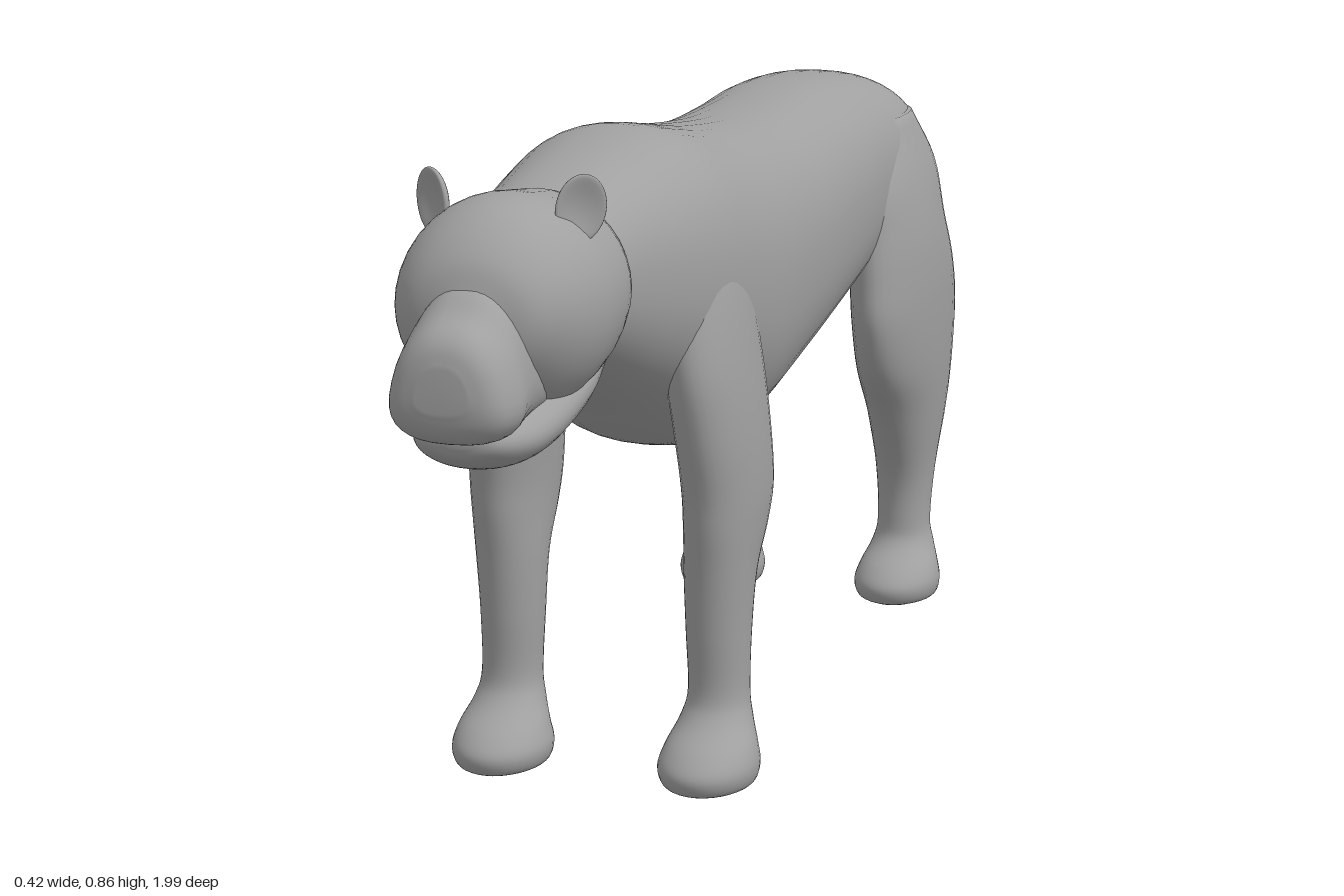
import * as THREE from 'three';

const X = new THREE.Vector3(1, 0, 0);

// Smooth skin over cross-sections [x, y, z, halfWidth, halfDepth].
// axis fixes the ring normal; without it rings follow the path.
// power below 1 squares the section; taper narrows its upper side.
function loft(sections, { axis = null, power = 1, taper = 0, steps = 5, sides = 36 } = {}) {
  const path = new THREE.CatmullRomCurve3(sections.map(s => new THREE.Vector3(s[0], s[1], s[2])), false, 'catmullrom');
  const size = new THREE.CatmullRomCurve3(sections.map(s => new THREE.Vector3(s[3], s[4], 0)), false, 'catmullrom');
  const n = (sections.length - 1) * steps;
  const pos = [], idx = [];
  const bend = v => Math.sign(v) * Math.pow(Math.abs(v), power);
  const ring = (t, k) => {
    const c = path.getPoint(t), r = size.getPoint(t);
    const up = (axis || path.getTangent(t)).clone().cross(X).normalize();
    for (let j = 0; j < sides; j++) {
      const a = j / sides * Math.PI * 2;
      const s = bend(Math.sin(a));
      const w = bend(Math.cos(a)) * Math.max(r.x, 0.001) * k * (1 - taper * s);
      const h = s * Math.max(r.y, 0.001) * k;
      pos.push(c.x + w, c.y + up.y * h, c.z + up.z * h);
    }
  };
  ring(0, 0);
  for (let i = 0; i <= n; i++) ring(i / n, 1);
  ring(1, 0);
  for (let i = 0; i < n + 2; i++) {
    for (let j = 0; j < sides; j++) {
      const a = i * sides + j, b = i * sides + (j + 1) % sides;
      idx.push(a, b, a + sides, b, b + sides, a + sides);
    }
  }
  const g = new THREE.BufferGeometry();
  g.setAttribute('position', new THREE.Float32BufferAttribute(pos, 3));
  g.setIndex(idx);
  g.computeVertexNormals();
  return g;
}

export function createModel() {
  const model = new THREE.Group();
  model.name = 'bigCat';
  const grey = new THREE.MeshStandardMaterial({ color: 0xa0a0a0 });
  grey.name = 'grey';
  const Y = new THREE.Vector3(0, 1, 0), Z = new THREE.Vector3(0, 0, 1);
  const add = (name, geometry, parent = model) => {
    const m = new THREE.Mesh(geometry, grey);
    m.name = name;
    parent.add(m);
    return m;
  };

  // Torso: [z, top, bottom, half width]
  const torso = [
    [-0.75, 0.70, 0.64, 0.03], [-0.735, 0.735, 0.60, 0.075], [-0.70, 0.77, 0.57, 0.115],
    [-0.62, 0.805, 0.545, 0.148], [-0.5, 0.825, 0.525, 0.162], [-0.35, 0.83, 0.497, 0.163],
    [-0.2, 0.82, 0.465, 0.165], [0, 0.815, 0.43, 0.173], [0.2, 0.83, 0.40, 0.183],
    [0.3, 0.843, 0.41, 0.183], [0.4, 0.855, 0.45, 0.174], [0.5, 0.842, 0.50, 0.153],
    [0.6, 0.825, 0.545, 0.13], [0.7, 0.805, 0.59, 0.112], [0.74, 0.79, 0.61, 0.10]];
  add('torso', loft(torso.map(([z, t, b, w]) => [0, (t + b) / 2, z, w, (t - b) / 2]), { axis: Z, power: 0.88, sides: 48 }));

  // Tail
  add('tail', loft([
    [0, 0.71, -0.68, 0.06, 0.05], [0, 0.715, -0.75, 0.043, 0.036], [0, 0.685, -0.81, 0.034, 0.031],
    [0, 0.59, -0.868, 0.03, 0.029], [0, 0.45, -0.905, 0.03, 0.029], [0, 0.32, -0.925, 0.029, 0.028],
    [0, 0.23, -0.948, 0.028, 0.028], [0, 0.19, -0.969, 0.026, 0.026], [0, 0.172, -0.983, 0.014, 0.014]], { sides: 24 }));

  // Legs with paws, mirrored
  const paw = z => [
    [0.144, 0, z, 0.042, 0.06], [0.144, 0.008, z, 0.06, 0.076], [0.144, 0.03, z, 0.066, 0.081],
    [0.145, 0.055, z - 0.008, 0.06, 0.068], [0.145, 0.085, z - 0.03, 0.048, 0.048]];
  const frontLeg = [...paw(0.46),
    [0.145, 0.12, 0.42, 0.041, 0.041], [0.144, 0.2, 0.418, 0.043, 0.048], [0.145, 0.28, 0.414, 0.047, 0.06],
    [0.147, 0.34, 0.397, 0.052, 0.086], [0.147, 0.39, 0.39, 0.055, 0.1], [0.142, 0.47, 0.398, 0.056, 0.11],
    [0.132, 0.56, 0.405, 0.056, 0.115], [0.118, 0.66, 0.405, 0.053, 0.1], [0.1, 0.76, 0.405, 0.04, 0.07]];
  const hindLeg = [...paw(-0.498),
    [0.145, 0.12, -0.533, 0.041, 0.043], [0.145, 0.2, -0.54, 0.045, 0.061], [0.146, 0.3, -0.541, 0.056, 0.12],
    [0.146, 0.38, -0.525, 0.062, 0.175], [0.146, 0.46, -0.515, 0.064, 0.202], [0.144, 0.53, -0.504, 0.064, 0.194],
    [0.139, 0.6, -0.49, 0.06, 0.178], [0.125, 0.68, -0.495, 0.054, 0.185], [0.105, 0.76, -0.5, 0.04, 0.13]];
  for (const [side, s] of [['left', 1], ['right', -1]]) {
    for (const [name, leg] of [['FrontLeg', frontLeg], ['HindLeg', hindLeg]]) {
      add(side + name, loft(leg.map(([x, ...r]) => [x * s, ...r]), { axis: Y }));
    }
  }

  // Head, muzzle and lower jaw
  const head = new THREE.Group();
  head.name = 'head';
  model.add(head);
  add('skull', loft([
    [0, 0.697, 0.685, 0.12, 0.116], [0, 0.692, 0.73, 0.129, 0.126], [0, 0.69, 0.79, 0.132, 0.134],
    [0, 0.692, 0.84, 0.122, 0.124], [0, 0.695, 0.88, 0.104, 0.098], [0, 0.695, 0.91, 0.075, 0.065],
    [0, 0.695, 0.925, 0.03, 0.025]], { axis: Z }), head);
  add('muzzle', loft([
    [0, 0.65, 0.83, 0.07, 0.09], [0, 0.65, 0.88, 0.07, 0.092], [0, 0.643, 0.92, 0.074, 0.087],
    [0, 0.631, 0.95, 0.077, 0.076], [0, 0.626, 0.978, 0.069, 0.066], [0, 0.625, 0.993, 0.054, 0.05],
    [0, 0.625, 1, 0.03, 0.026]], { axis: Z, power: 0.8, taper: 0.25 }), head);
  add('lowerJaw', loft([
    [0, 0.615, 0.69, 0.09, 0.04], [0, 0.59, 0.75, 0.095, 0.048], [0, 0.564, 0.82, 0.088, 0.046],
    [0, 0.554, 0.88, 0.082, 0.042], [0, 0.552, 0.92, 0.068, 0.034], [0, 0.553, 0.945, 0.045, 0.02],
    [0, 0.555, 0.953, 0.015, 0.006]], { axis: Z }), head);

  // Eyes with lids, and cupped ears
  for (const [side, s] of [['left', 1], ['right', -1]]) {
    const eye = new THREE.Group();
    eye.name = side + 'Eye';
    eye.position.set(0.065 * s, 0.711, 0.893);
    eye.rotation.set(-0.1, 0.5 * s, 0.2 * s);
    add('eyeball', new THREE.SphereGeometry(0.017, 20, 14), eye);
    const lid = add('eyelid', new THREE.TorusGeometry(0.018, 0.004, 8, 24), eye);
    lid.scale.y = 0.8;
    lid.position.z = 0.004;
    head.add(eye);

    const ear = new THREE.Group();
    ear.name = side + 'Ear';
    ear.position.set(0.094 * s, 0.808, 0.79);
    ear.rotation.set(0, 0.6 * s, -0.2 * s);
    const cup = new THREE.SphereGeometry(1, 28, 20);
    const p = cup.attributes.position;
    for (let i = 0; i < p.count; i++) {
      const x = p.getX(i), y = p.getY(i), z = p.getZ(i);
      // hollow the front face
      p.setXYZ(i, x * 0.031, y * 0.041, z > 0 ? 0.012 * z * (1 - 1.3 * z) : 0.014 * z);
    }
    cup.computeVertexNormals();
    add('earCup', cup, ear);
    head.add(ear);
  }
  return model;
}
